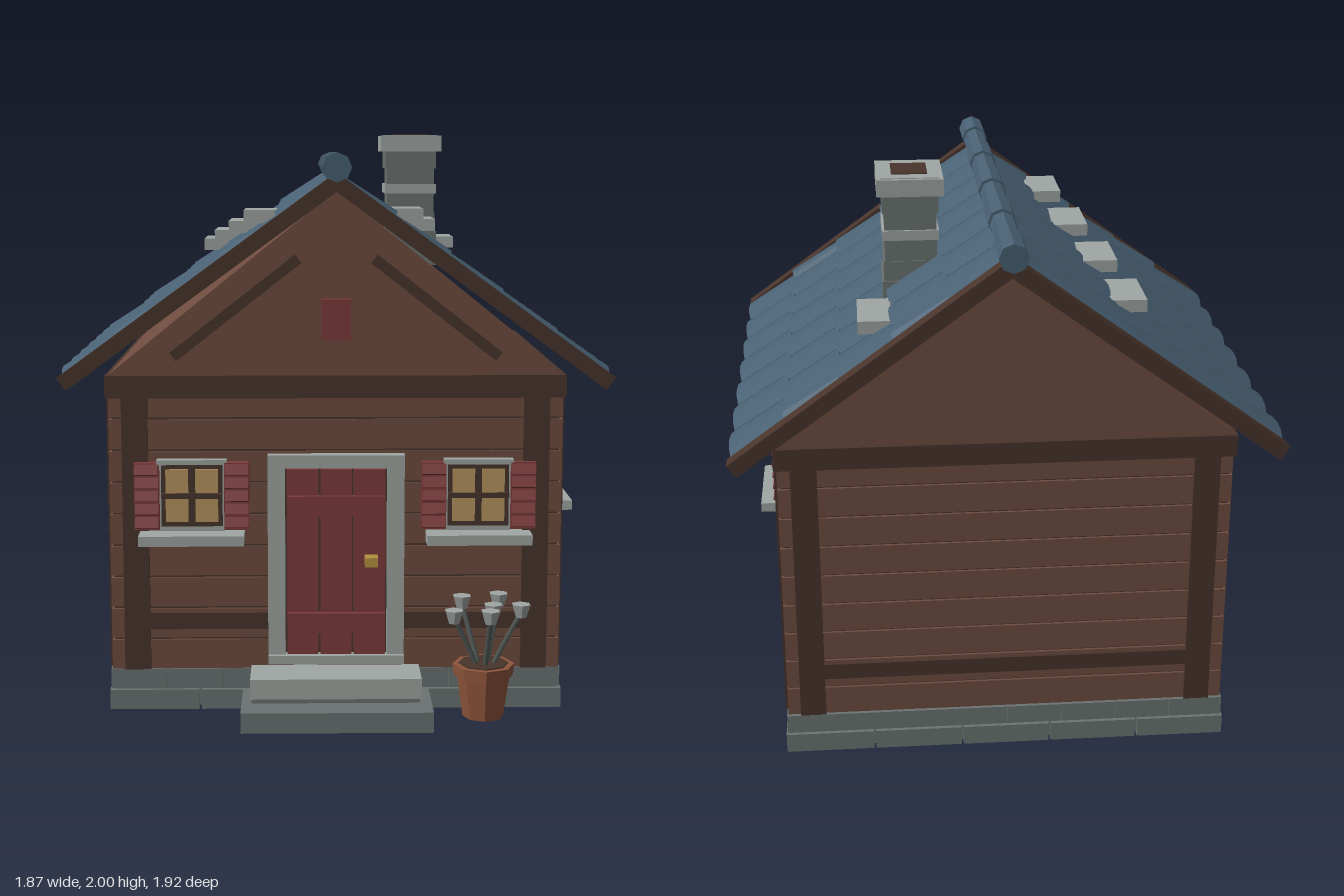
import * as THREE from 'three';
import { mergeGeometries } from 'three/addons/utils/BufferGeometryUtils.js';

const mat = (name, color) => Object.assign(new THREE.MeshStandardMaterial({ color }), { name });
const M = {
  wall: mat('wall wood', 0x6e4c3f), beam: mat('dark timber', 0x48342b), roof: mat('slate blue', 0x486073),
  red: mat('painted red', 0x7d3b3b), pale: mat('pale stone', 0x9fa6a3), stone: mat('grey stone', 0x6b7371),
  clay: mat('terracotta', 0x8e543b), glass: mat('lamplit glass', 0xb8975f), brass: mat('brass', 0xb5923f),
  stem: mat('stem', 0x535c58),
};
const FRONT = 0.68, BACK = -0.752, SIDE = 0.78, MIDZ = -0.04;

function add(parent, name, geo, material) {
  const m = new THREE.Mesh(geo, material);
  m.name = name;
  parent.add(m);
  return m;
}
// Box given by its limits on each axis
function boxGeo(x0, x1, y0, y1, z0, z1) {
  return new THREE.BoxGeometry(x1 - x0, y1 - y0, z1 - z0).translate((x0 + x1) / 2, (y0 + y1) / 2, (z0 + z1) / 2);
}
const box = (parent, name, material, ...lim) => add(parent, name, boxGeo(...lim), material);
function group(parent, name) {
  const g = new THREE.Group();
  g.name = name;
  parent.add(g);
  return g;
}
// Faceted cylinder
function facet(rTop, rBottom, h, sides) {
  const g = new THREE.CylinderGeometry(rTop, rBottom, h, sides).toNonIndexed();
  g.computeVertexNormals();
  return g;
}

function buildFoundation(root) {
  const g = group(root, 'foundation');
  box(g, 'foundationCore', M.stone, -0.775, 0.775, 0.01, 0.14, -0.755, 0.675);
  const blocks = [];
  [[0, 0.07, 5, 0.79], [0.076, 0.145, 8, 0.785]].forEach(([y0, y1, n, X], row) => {
    const z0 = -0.77 + row * 0.005, z1 = 0.69 - row * 0.005;
    const wx = (2 * X) / n, wz = (z1 - z0) / n;
    for (let i = 0; i < n; i++) {
      const a = -X + i * wx + 0.004, b = a + wx - 0.008;
      blocks.push(boxGeo(a, b, y0, y1, z1 - 0.04, z1), boxGeo(a, b, y0, y1, z0, z0 + 0.04));
      const c = z0 + i * wz + 0.004, d = c + wz - 0.008;
      blocks.push(boxGeo(X - 0.04, X, y0, y1, c, d), boxGeo(-X, -X + 0.04, y0, y1, c, d));
    }
  });
  add(g, 'foundationBlocks', mergeGeometries(blocks), M.stone);
}

function buildWalls(root) {
  const g = group(root, 'walls');
  box(g, 'wallCore', M.beam, -0.77, 0.77, 0.14, 1.16, BACK + 0.01, FRONT - 0.01);
  for (let i = 0; i < 9; i++) {
    const y = 0.145 + i * 0.111;
    box(g, 'plank', M.wall, -SIDE, SIDE, y, y + 0.103, BACK, FRONT);
  }
  // Corner posts and rails on all four sides
  for (const s of [-1, 1]) {
    const [a, b] = s > 0 ? [0.645, 0.735] : [-0.735, -0.645];
    box(g, 'frontPost', M.beam, a, b, 0.145, 1.12, FRONT - 0.02, 0.692);
    box(g, 'backPost', M.beam, a, b, 0.145, 1.12, -0.764, BACK + 0.02);
    const [c, d] = s > 0 ? [SIDE - 0.02, 0.79] : [-0.79, -SIDE + 0.02];
    box(g, 'sidePostFront', M.beam, c, d, 0.145, 1.12, 0.548, 0.64);
    box(g, 'sidePostBack', M.beam, c, d, 0.145, 1.12, -0.712, -0.622);
  }
  box(g, 'lowRail', M.beam, -0.787, 0.787, 0.287, 0.345, -0.712, 0.64);
  box(g, 'lowRailAcross', M.beam, -0.735, 0.735, 0.287, 0.345, -0.759, 0.687);
  box(g, 'topBeam', M.beam, -0.79, 0.79, 1.1, 1.178, -0.765, 0.692);
  // Gable prism
  const tri = new THREE.Shape([[-0.78, 1.178], [0.78, 1.178], [0, 1.805]].map(p => new THREE.Vector2(...p)));
  const gable = new THREE.ExtrudeGeometry(tri, { depth: FRONT - BACK, bevelEnabled: false });
  add(g, 'gable', gable.translate(0, 0, BACK), M.wall);
  for (const s of [-1, 1]) {
    const brace = add(g, 'gableBrace', new THREE.BoxGeometry(0.54, 0.036, 0.04), M.beam);
    brace.position.set(s * 0.342, 1.41, FRONT + 0.01);
    brace.rotation.z = -s * Math.atan(0.78);
  }
  box(g, 'gablePlaque', M.red, -0.05, 0.05, 1.3, 1.44, FRONT, FRONT + 0.03);
}

// Window built facing +z around its own centre
function buildWindow(root, name, x, y, z, turn) {
  const g = group(root, name);
  g.position.set(x, y, z);
  g.rotation.y = turn;
  box(g, 'trim', M.pale, -0.112, 0.112, -0.125, 0.115, 0, 0.02);
  box(g, 'lintel', M.pale, -0.12, 0.12, 0.108, 0.125, 0, 0.035);
  box(g, 'sill', M.pale, -0.18, 0.18, -0.162, -0.127, 0, 0.1);
  box(g, 'sash', M.beam, -0.105, 0.105, -0.108, 0.106, 0.01, 0.024);
  for (const sx of [-1, 1]) {
    for (const sy of [-1, 1])
      box(g, 'pane', M.glass, sx * 0.051 - 0.039, sx * 0.051 + 0.039, sy * 0.05 - 0.042, sy * 0.05 + 0.042, 0.02, 0.028);
    const c = sx * 0.154;
    box(g, 'shutter', M.red, c - 0.043, c + 0.043, -0.118, 0.115, 0, 0.035);
    for (let i = 0; i < 5; i++) {
      const slat = add(g, 'shutterSlat', new THREE.BoxGeometry(0.08, 0.037, 0.016), M.red);
      slat.position.set(c, -0.092 + i * 0.046, 0.038);
      slat.rotation.x = -0.35;
    }
  }
  box(g, 'glazingBarUpright', M.beam, -0.011, 0.011, -0.105, 0.105, 0.02, 0.034);
  box(g, 'glazingBarCross', M.beam, -0.105, 0.105, -0.009, 0.009, 0.02, 0.04);
}

function buildDoor(root) {
  const g = group(root, 'door');
  for (const [a, b] of [[-0.235, -0.175], [0.175, 0.235]])
    box(g, 'doorJamb', M.pale, a, b, 0.185, 0.865, FRONT - 0.01, 0.722);
  box(g, 'doorLintel', M.pale, -0.235, 0.235, 0.862, 0.907, FRONT - 0.01, 0.726);
  box(g, 'threshold', M.pale, -0.235, 0.235, 0.175, 0.205, FRONT - 0.01, 0.74);
  box(g, 'doorBacking', M.beam, -0.175, 0.175, 0.2, 0.865, FRONT - 0.01, 0.695);
  for (let i = -1; i <= 1; i++)
    box(g, 'doorPlank', M.red, i * 0.115 - 0.054, i * 0.115 + 0.054, 0.21, 0.86, 0.69, 0.735);
  for (const y of [0.29, 0.7]) box(g, 'doorBatten', M.red, -0.168, 0.168, y, y + 0.07, 0.73, 0.755);
  box(g, 'doorHandle', M.brass, 0.098, 0.142, 0.53, 0.563, 0.73, 0.79);
  box(root, 'upperStep', M.pale, -0.295, 0.29, 0.085, 0.155, 0.66, 0.85);
  box(root, 'lowerStep', M.stone, -0.325, 0.325, 0, 0.07, 0.66, 0.95);
  box(root, 'stepJoint', M.stone, -0.29, 0.285, 0.06, 0.12, 0.66, 0.845);
}

// Arched tile: x runs down the slope, y away from it, z along the ridge
function tileGeo(width, length, u, z) {
  const h = width / 2, edge = 0.01, crown = 0.028;
  const s = new THREE.Shape([[-h, -0.004], [h, -0.004], [h, edge], [h * 0.5, crown - 0.004], [0, crown],
    [-h * 0.5, crown - 0.004], [-h, edge]].map(p => new THREE.Vector2(...p)));
  return new THREE.ExtrudeGeometry(s, { depth: length, bevelEnabled: false })
    .rotateY(Math.PI / 2).rotateZ(0.06).translate(u, -0.004, z);
}

function buildRoof(root) {
  const g = group(root, 'roof');
  g.position.set(0, 1.84, MIDZ);
  const pitch = Math.atan(0.67 / 0.92), rows = 5, cols = 7, half = 0.81;
  const rowLen = 1.118 / rows, tileW = (2 * half) / cols;
  const tiles = [];
  for (let r = 0; r < rows; r++) {
    const shifted = r % 2 === 1;
    for (let i = 0; i < cols + (shifted ? 1 : 0); i++) {
      const z0 = Math.max(-half, -half + (i - (shifted ? 0.5 : 0)) * tileW);
      const z1 = Math.min(half, -half + (i + (shifted ? 0.5 : 1)) * tileW);
      tiles.push(tileGeo(z1 - z0 - 0.004, rowLen + 0.008, r * rowLen, (z0 + z1) / 2));
    }
  }
  const tileField = mergeGeometries(tiles);
  for (const turn of [0, Math.PI]) {
    const face = group(g, turn ? 'roofRight' : 'roofLeft');
    face.rotation.set(0, turn, 0);
    const slope = group(face, 'slope');
    slope.rotation.z = -pitch;
    box(slope, 'roofDeck', M.roof, 0, 1.118, -0.018, 0, -half, half);
    add(slope, 'roofTiles', tileField, M.roof);
    for (const s of [-1, 1])
      box(slope, 'rakeBoard', M.beam, -0.01, 1.138, -0.03, 0.022, s * 0.837 - 0.03, s * 0.837 + 0.03);
  }
  // Ridge caps over a slimmer core
  const core = add(root, 'ridgeCore', facet(0.038, 0.038, 1.82, 8).rotateX(Math.PI / 2), M.roof);
  core.position.set(0, 1.88, MIDZ);
  for (let i = 0; i < 9; i++) {
    const r = i % 2 ? 0.044 : 0.049;
    const cap = add(root, 'ridgeCap', facet(r, r, 0.19, 8).rotateX(Math.PI / 2), M.roof);
    cap.position.set(0, 1.883, 0.785 - i * 0.2062);
  }
  // Weight stones lying level on the slopes
  const stones = [[0.245, 1.715, 0.375], [0.31, 1.667, 0.065], [0.43, 1.572, -0.56],
    [-0.25, 1.715, 0.52], [-0.315, 1.667, 0.21], [-0.382, 1.62, -0.1], [-0.44, 1.572, -0.41]];
  for (const [x, y, z] of stones)
    add(root, 'roofStone', new THREE.BoxGeometry(0.125, 0.044, 0.24), M.pale).position.set(x, y, z);
}

function buildChimney(root) {
  const g = group(root, 'chimney');
  g.position.set(0.3, 0, -0.243);
  const courses = [[1.5, 1.63, 0.1], [1.63, 1.7, 0.094], [1.7, 1.775, 0.09], [1.775, 1.81, 0.098],
    [1.81, 1.87, 0.09], [1.87, 1.935, 0.097]];
  courses.forEach(([y0, y1, w], i) =>
    box(g, 'chimneyCourse', i === 3 ? M.pale : M.stone, -w, w, y0, y1, -w - 0.022, w + 0.022));
  box(g, 'chimneyCap', M.pale, -0.115, 0.115, 1.935, 1.994, -0.142, 0.142);
  box(g, 'chimneyCapTop', M.pale, -0.1, 0.1, 1.99, 1.997, -0.127, 0.127);
  box(g, 'flue', M.beam, -0.062, 0.062, 1.99, 2, -0.075, 0.075);
}

function buildPlanter(root) {
  const g = group(root, 'planter');
  g.position.set(0.503, 0, 0.817);
  add(g, 'pot', facet(0.093, 0.07, 0.16, 8), M.clay).position.y = 0.095;
  add(g, 'potRim', facet(0.106, 0.102, 0.04, 8), M.clay).position.y = 0.18;
  add(g, 'soil', facet(0.085, 0.085, 0.01, 8), M.beam).position.y = 0.199;
  const tips = [[0.01, 0.385, 0.112], [-0.105, 0.365, 0.03], [0.125, 0.38, 0.01], [0.06, 0.39, -0.1],
    [-0.07, 0.39, -0.07], [0.03, 0.38, 0.01]];
  for (const [x, y, z] of tips) {
    const path = new THREE.QuadraticBezierCurve3(new THREE.Vector3(x * 0.25, 0.195, z * 0.25),
      new THREE.Vector3(x * 0.6, 0.29, z * 0.6), new THREE.Vector3(x, y, z));
    add(g, 'flowerStem', new THREE.TubeGeometry(path, 4, 0.009, 5), M.stem);
    add(g, 'flowerHead', facet(0.034, 0.02, 0.045, 6), M.pale).position.set(x, y + 0.008, z);
  }
}

export function createModel() {
  const root = new THREE.Group();
  root.name = 'cottage';
  buildFoundation(root);
  buildWalls(root);
  buildWindow(root, 'windowFrontRight', -0.495, 0.765, FRONT, 0);
  buildWindow(root, 'windowFrontLeft', 0.49, 0.765, FRONT, 0);
  buildWindow(root, 'windowSide', SIDE, 0.785, 0.113, Math.PI / 2);
  buildDoor(root);
  buildRoof(root);
  buildChimney(root);
  buildPlanter(root);
  return root;
}
